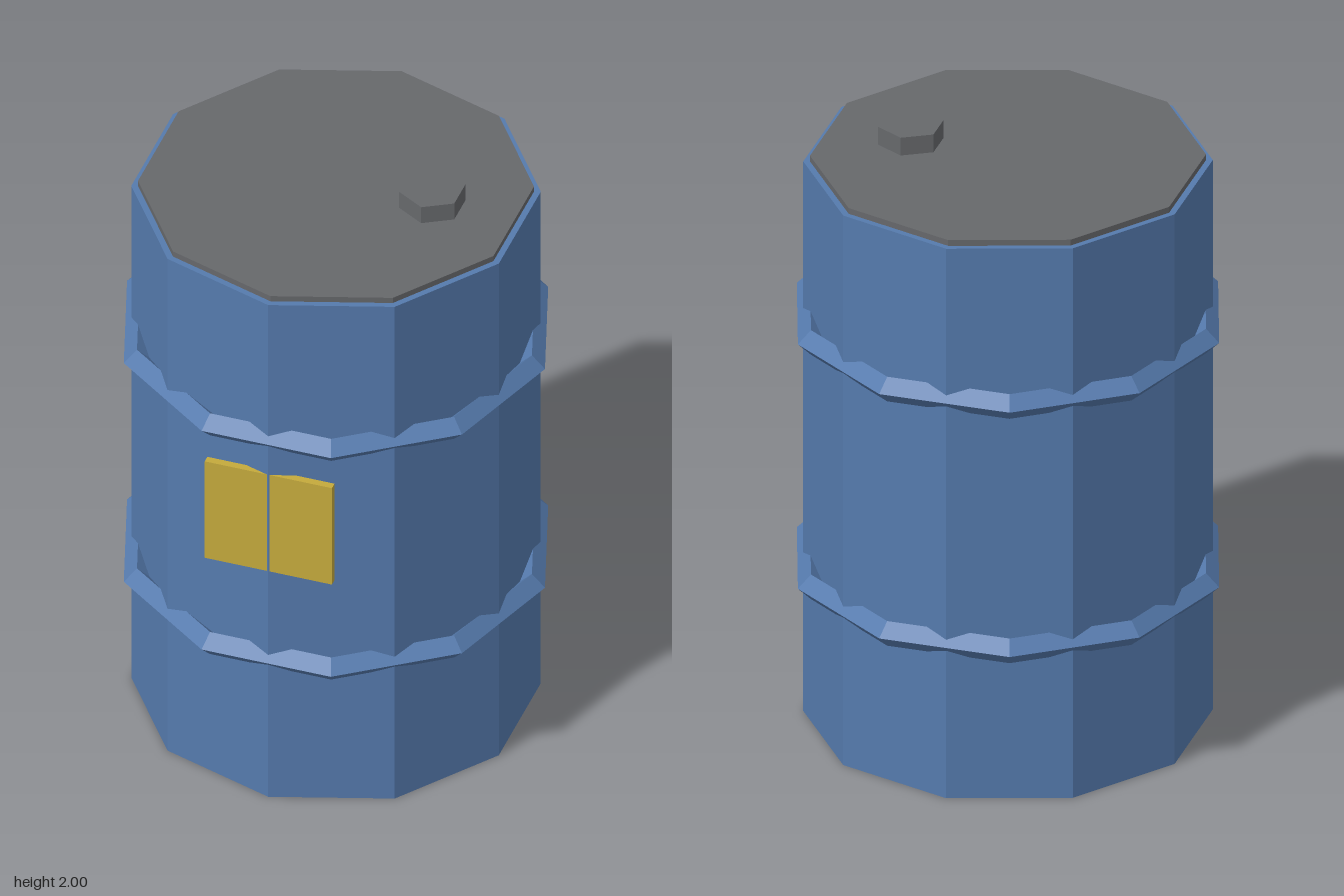
import * as THREE from 'three';

const makeMaterial = (name, color) => {
  const m = new THREE.MeshStandardMaterial({ color, flatShading: true });
  m.name = name;
  return m;
};

export function createModel() {
  const group = new THREE.Group();
  group.name = 'barrel';
  const blue = makeMaterial('blue paint', 0x557aad);
  const grey = makeMaterial('grey metal', 0x66686b);
  const yellow = makeMaterial('yellow label', 0xc4a93c);

  const add = (name, geometry, material, x, y, z) => {
    const mesh = new THREE.Mesh(geometry, material);
    mesh.name = name;
    mesh.position.set(x, y, z);
    group.add(mesh);
    return mesh;
  };
  // upright prism standing between two heights
  const prism = (name, radius, y0, y1, sides, material, x = 0) =>
    add(name, new THREE.CylinderGeometry(radius, radius, y1 - y0, sides), material, x, (y0 + y1) / 2, 0);

  // ten-sided drum, lid and hexagonal filler cap
  prism('body', 0.638, 0, 1.918, 10, blue);
  prism('lid', 0.617, 1.918, 1.938, 10, grey);
  prism('fillerCap', 0.105, 1.938, 2, 6, grey, 0.318);

  // two diamond-section hoops, turned half a side from the drum
  [['lowerHoop', 0.534], ['upperHoop', 1.387]].forEach(([name, y]) => {
    const hoop = new THREE.TorusGeometry(0.647, 0.043, 4, 10).rotateX(Math.PI / 2);
    add(name, hoop, blue, 0, y, 0);
  });

  // flat label plate, split by the drum's front edge
  add('label', new THREE.BoxGeometry(0.42, 0.376, 0.025), yellow, 0, 1.067, 0.624);

  return group;
}
